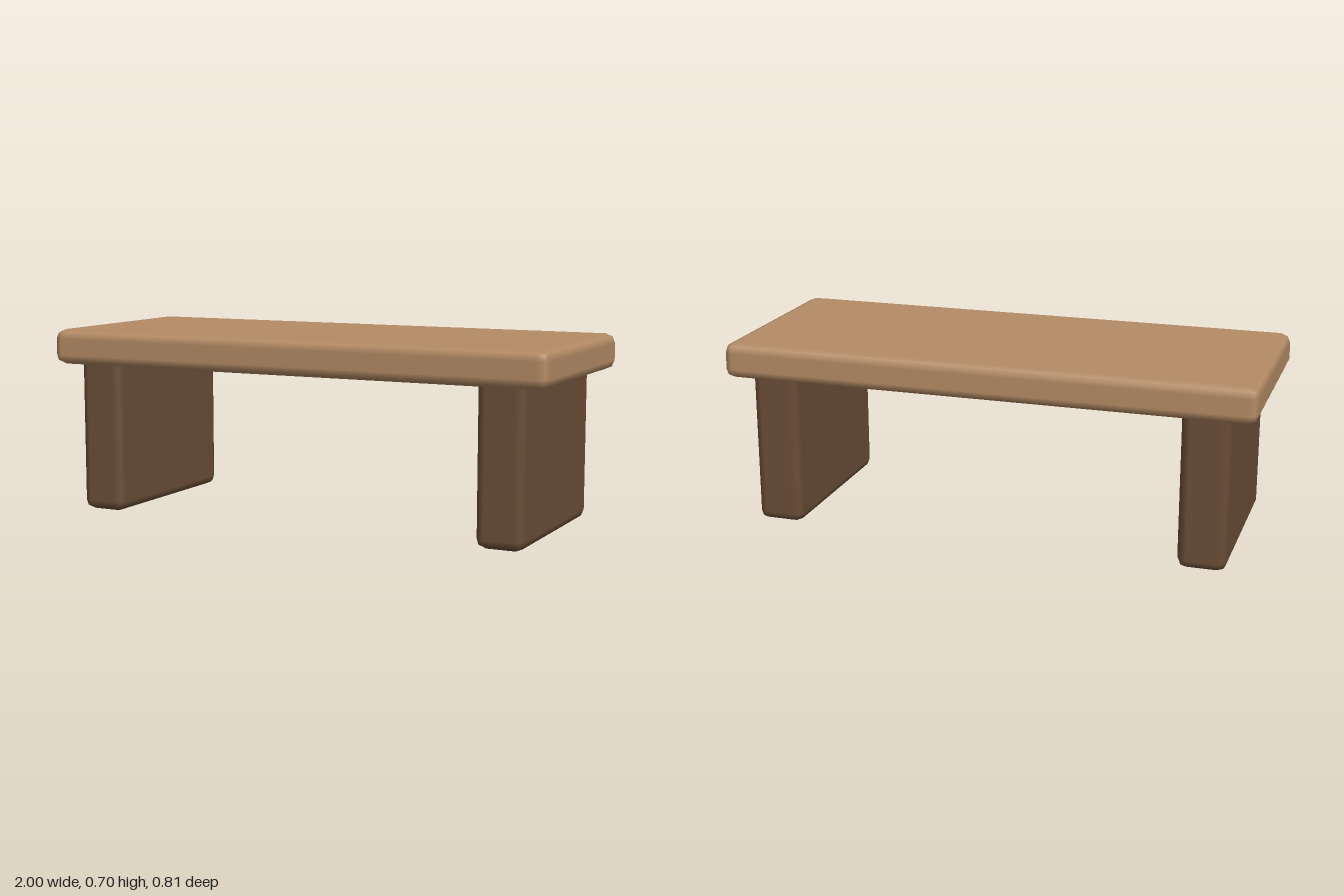
import * as THREE from 'three';
import { RoundedBoxGeometry } from 'three/addons/geometries/RoundedBoxGeometry.js';

const EDGE = 0.036; // rounding shared by every plank

export function createModel() {
  const model = new THREE.Group();
  model.name = 'bench';

  const lightWood = new THREE.MeshStandardMaterial({ color: 0xb58c65 });
  lightWood.name = 'light wood';
  const darkWood = new THREE.MeshStandardMaterial({ color: 0x6b4e37 });
  darkWood.name = 'dark wood';

  // Rounded plank spanning y = bottom to y = top
  function addPlank(name, material, width, depth, bottom, top, x) {
    const mesh = new THREE.Mesh(
      new RoundedBoxGeometry(width, top - bottom, depth, 1, EDGE), material);
    mesh.name = name;
    mesh.position.set(x, (bottom + top) / 2, 0);
    model.add(mesh);
  }

  // Seat slab
  addPlank('seat', lightWood, 2, 0.815, 0.57, 0.704, 0);

  // Slab legs, with their tops set into the seat
  for (const side of [1, -1]) {
    addPlank(side > 0 ? 'leftLeg' : 'rightLeg', darkWood, 0.18, 0.727, 0, 0.625, side * 0.817);
  }

  return model;
}
